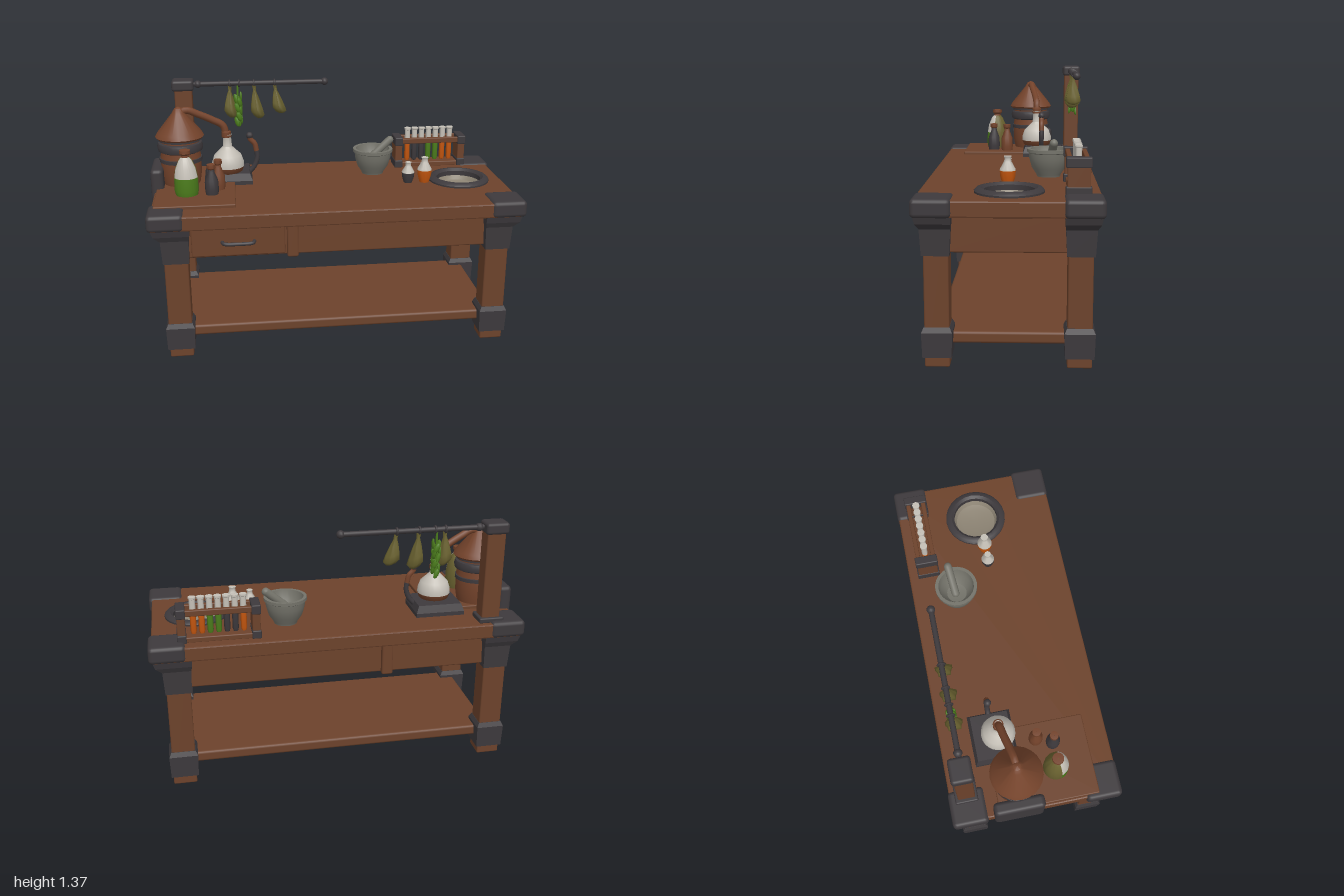
import * as THREE from 'three';
import { RoundedBoxGeometry } from 'three/addons/geometries/RoundedBoxGeometry.js';
import { toCreasedNormals } from 'three/addons/utils/BufferGeometryUtils.js';

const mat = (name, color, side = THREE.FrontSide) => {
  const m = new THREE.MeshStandardMaterial({ color, side });
  m.name = name;
  return m;
};

export function createModel() {
  const root = new THREE.Group();
  root.name = 'workbench';
  const wood = mat('wood', 0x6c422b);
  const copper = mat('copper', 0x74432b, THREE.DoubleSide);
  const iron = mat('iron', 0x3d393c, THREE.DoubleSide);
  const stone = mat('stone', 0x74736a, THREE.DoubleSide);
  const pale = mat('paleStone', 0x8c8373, THREE.DoubleSide);
  const glass = mat('glass', 0xc4bfb6, THREE.DoubleSide);
  const green = mat('green', 0x4c7d1c, THREE.DoubleSide);
  const olive = mat('olive', 0x68602f, THREE.DoubleSide);
  const orange = mat('orange', 0xc4560f, THREE.DoubleSide);

  const add = (name, geo, m, x = 0, y = 0, z = 0, parent = root) => {
    const mesh = new THREE.Mesh(geo, m);
    mesh.name = name;
    mesh.position.set(x, y, z);
    parent.add(mesh);
    return mesh;
  };
  // Softened box given by its limits on each axis
  const box = (name, m, [x0, x1], [y0, y1], [z0, z1], r = 0.008) =>
    add(name, new RoundedBoxGeometry(x1 - x0, y1 - y0, z1 - z0, 2, r), m, (x0 + x1) / 2, (y0 + y1) / 2, (z0 + z1) / 2);
  // Turned shape from [radius, height] pairs
  const turned = (name, m, x, z, profile, start = 0, sweep = Math.PI * 2) =>
    add(name, toCreasedNormals(new THREE.LatheGeometry(profile.map(p => new THREE.Vector2(...p)), 24, start, sweep), 0.7), m, x, 0, z);
  const tube = (name, m, points, r) =>
    add(name, new THREE.TubeGeometry(new THREE.CatmullRomCurve3(points.map(p => new THREE.Vector3(...p))), 24, r, 8), m);
  const span = (s, a, b) => (s > 0 ? [a, b] : [-b, -a]);

  // Rectangular sections [y, x0, x1, z0, z1] joined from bottom to top
  const loft = (name, m, sections) => {
    const rings = sections.map(([y, a, b, c, d]) => [[a, y, d], [b, y, d], [b, y, c], [a, y, c]]);
    const pos = [];
    const quad = (a, b, c, d) => pos.push(...a, ...b, ...c, ...a, ...c, ...d);
    for (let i = 0; i + 1 < rings.length; i++) {
      for (let k = 0; k < 4; k++) {
        const n = (k + 1) % 4;
        quad(rings[i][k], rings[i][n], rings[i + 1][n], rings[i + 1][k]);
      }
    }
    quad(...rings[rings.length - 1]);
    quad(...[...rings[0]].reverse());
    const geo = new THREE.BufferGeometry();
    geo.setAttribute('position', new THREE.Float32BufferAttribute(pos, 3));
    geo.computeVertexNormals();
    return add(name, geo, m);
  };

  // Table top with a round opening for the basin
  const top = new THREE.Shape([[-0.975, -0.435], [0.975, -0.435], [0.975, 0.435], [-0.975, 0.435]].map(p => new THREE.Vector2(...p)));
  const hole = new THREE.Path();
  hole.absarc(0.74, 0, 0.14, 0, Math.PI * 2, true);
  top.holes.push(hole);
  const topGeo = new THREE.ExtrudeGeometry(top, { depth: 0.064, bevelEnabled: true, bevelSize: 0.008, bevelThickness: 0.008, bevelSegments: 2, curveSegments: 32 });
  topGeo.rotateX(-Math.PI / 2);
  add('tableTop', topGeo, wood, 0, 0.751, 0);

  // Four legs with iron feet bands, flared brackets and corner caps
  for (const sx of [-1, 1]) for (const sz of [-1, 1]) {
    box('leg', wood, span(sx, 0.8, 0.925), [0, 0.76], span(sz, 0.28, 0.4));
    const section = (y, a, b, c, d) => [y, ...span(sx, a, b), ...span(sz, c, d)];
    loft('footBand', iron, [
      section(0.05, 0.79, 0.935, 0.27, 0.41), section(0.175, 0.786, 0.939, 0.266, 0.414), section(0.2, 0.798, 0.927, 0.278, 0.402)]);
    loft('legBracket', iron, [
      section(0.55, 0.795, 0.93, 0.275, 0.408), section(0.68, 0.79, 0.937, 0.268, 0.415),
      section(0.71, 0.785, 0.97, 0.265, 0.43), section(0.76, 0.785, 0.985, 0.263, 0.44)]);
    box('cornerCap', iron, span(sx, 0.81, 1), [0.742, 0.833], span(sz, 0.26, 0.45), 0.022);
  }
  box('shelf', wood, [-0.87, 0.87], [0.1, 0.16], [-0.355, 0.355], 0.014);

  // Aprons, divider and drawer
  for (const s of [-1, 1]) {
    box('longApron', wood, [-0.82, 0.82], [0.565, 0.755], span(s, 0.34, 0.372));
    box('endApron', wood, span(s, 0.865, 0.9), [0.56, 0.755], [-0.3, 0.3]);
    box('apronPost', wood, [-0.28, -0.22], [0.558, 0.755], span(s, 0.35, 0.402), 0.01);
  }
  box('divider', wood, [-0.265, -0.235], [0.575, 0.755], [-0.35, 0.35]);
  box('drawerFront', wood, [-0.78, -0.29], [0.575, 0.74], [0.36, 0.388]);
  tube('drawerHandle', iron, [[-0.62, 0.655, 0.385], [-0.61, 0.652, 0.408], [-0.535, 0.65, 0.413], [-0.46, 0.652, 0.408], [-0.45, 0.655, 0.385]], 0.01);

  // Basin sunk into the top
  turned('basinRim', iron, 0.74, 0, [[0.125, 0.79], [0.125, 0.835], [0.14, 0.848], [0.16, 0.845], [0.172, 0.832], [0.172, 0.815]]);
  turned('basinBowl', pale, 0.74, 0, [[0.001, 0.772], [0.08, 0.775], [0.112, 0.785], [0.126, 0.81]]);

  // Working board and side plate
  box('workBoard', wood, [-0.97, -0.54], [0.815, 0.842], [-0.2, 0.33], 0.006);
  box('sidePlate', iron, [-1, -0.93], [0.695, 0.95], [-0.23, 0.035], 0.022);

  // Post with hanging rail
  box('railPost', wood, [-0.865, -0.765], [0.82, 1.33], [-0.4, -0.308]);
  box('railPostCap', iron, [-0.88, -0.755], [1.31, 1.372], [-0.41, -0.3], 0.016);
  box('railPostBase', iron, [-0.885, -0.75], [0.82, 0.85], [-0.415, -0.295]);
  add('rail', new THREE.CylinderGeometry(0.014, 0.014, 0.78, 10).rotateZ(Math.PI / 2), iron, -0.38, 1.342, -0.352);
  for (const x of [-0.732, 0.003]) add('railKnob', new THREE.SphereGeometry(0.022, 12, 8), iron, x, 1.342, -0.352);
  const ringXs = [-0.55, -0.495, -0.41, -0.29];
  for (const x of ringXs) add('railRing', new THREE.TorusGeometry(0.017, 0.006, 6, 14).rotateY(Math.PI / 2), iron, x, 1.342, -0.352);

  // Dried herb bundles: fluted cones with ragged ends, leaning slightly
  for (const [x, length, lean] of [[-0.55, 0.185, 0.0], [-0.41, 0.195, 0.1], [-0.29, 0.17, 0.17]]) {
    const geo = new THREE.LatheGeometry([[0.003, -1], [0.022, -0.94], [0.038, -0.82], [0.033, -0.65], [0.02, -0.35], [0.008, -0.15], [0.011, 0]]
      .map(p => new THREE.Vector2(p[0], p[1] * length)), 14);
    const p = geo.attributes.position;
    for (let i = 0; i < p.count; i++) {
      const a = Math.atan2(p.getZ(i), p.getX(i)), k = 1 + 0.16 * Math.cos(5 * a);
      p.setXYZ(i, p.getX(i) * k, p.getY(i) - p.getX(i) * 0.5, p.getZ(i) * k * 1.15);
    }
    geo.computeVertexNormals();
    add('driedHerb', geo, olive, x, 1.328, -0.345).rotation.z = lean;
  }
  // Fresh herb: pointed leaves spiralling down a stem
  const sprig = new THREE.Group();
  sprig.name = 'freshHerb';
  sprig.position.set(-0.505, 1.33, -0.35);
  root.add(sprig);
  add('stem', new THREE.CylinderGeometry(0.006, 0.006, 0.2, 6), green, 0, -0.1, 0, sprig);
  for (let i = 0; i < 16; i++) {
    const a = i * 2.4, y = -0.065 - i * 0.0105, r = 0.018;
    const leaf = add('leaf', new THREE.SphereGeometry(0.02, 7, 5), green, Math.cos(a) * r, y, Math.sin(a) * r, sprig);
    leaf.scale.set(0.75, 1.5, 0.4);
    leaf.rotation.set(0, -a + Math.PI / 2, Math.sin(a) * 0.4);
  }

  // Still: copper pot with iron bands, conical hood and spout
  const sx = -0.835, sz = -0.09;
  turned('stillPot', copper, sx, sz, [[0.001, 0.835], [0.1, 0.835], [0.112, 0.9], [0.112, 1.0], [0.105, 1.03], [0.108, 1.11]]);
  turned('stillBand', iron, sx, sz, [[0.108, 1.025], [0.122, 1.032], [0.127, 1.055], [0.12, 1.075], [0.105, 1.08]]);
  turned('stillCollar', iron, sx, sz, [[0.1, 1.085], [0.116, 1.088], [0.116, 1.104], [0.1, 1.107]]);
  turned('stillLowerBand', iron, sx, sz, [[0.1, 0.965], [0.118, 0.97], [0.118, 0.99], [0.1, 0.995]]);
  turned('stillHood', copper, sx, sz, [[0.001, 1.098], [0.125, 1.1], [0.134, 1.11], [0.122, 1.132], [0.035, 1.24], [0.02, 1.265], [0.001, 1.273]]);
  tube('stillSpout', copper, [[-0.84, 1.235, -0.09], [-0.79, 1.25, -0.095], [-0.73, 1.225, -0.105], [-0.65, 1.185, -0.12], [-0.595, 1.15, -0.128], [-0.578, 1.085, -0.13]], 0.02);
  turned('spoutCollar', copper, -0.578, -0.13, [[0.02, 1.08], [0.027, 1.085], [0.027, 1.115], [0.02, 1.12]]);

  // Flask on an iron burner stand
  const fx = -0.575, fz = -0.13;
  loft('burnerStand', iron, [[0.82, -0.71, -0.44, -0.275, -0.045], [0.845, -0.71, -0.44, -0.275, -0.045], [0.885, -0.695, -0.455, -0.26, -0.06]]);
  turned('flaskLiquid', copper, fx, fz, [[0.001, 0.866], [0.055, 0.867], [0.082, 0.89], [0.09, 0.915]]);
  turned('flaskGlass', glass, fx, fz, [[0.09, 0.915], [0.09, 0.94], [0.076, 0.98], [0.045, 1.01], [0.026, 1.03], [0.022, 1.09], [0.027, 1.1], [0.02, 1.1]]);
  tube('standHook', iron, [[-0.46, 0.86, -0.16], [-0.425, 0.9, -0.16], [-0.408, 0.95, -0.16], [-0.412, 1.0, -0.16]], 0.014);
  tube('hookHandle', copper, [[-0.411, 0.99, -0.16], [-0.42, 1.03, -0.16], [-0.445, 1.06, -0.16], [-0.448, 1.08, -0.16]], 0.015);
  add('hookTip', new THREE.SphereGeometry(0.02, 10, 8), iron, -0.448, 1.08, -0.16);

  // Large bottle with a label-like clear front
  const bx = -0.8, bz = 0.13;
  turned('bottleFront', green, bx, bz, [[0.001, 0.842], [0.06, 0.842], [0.066, 0.87], [0.064, 0.94]], -1.3, 2.6);
  turned('bottleFrontGlass', glass, bx, bz, [[0.064, 0.94], [0.055, 0.99], [0.035, 1.035], [0.022, 1.05]], -1.3, 2.6);
  turned('bottleBack', olive, bx, bz, [[0.001, 0.842], [0.06, 0.842], [0.066, 0.87], [0.064, 0.94], [0.055, 0.99], [0.035, 1.035], [0.022, 1.05]], 1.3, Math.PI * 2 - 2.6);
  turned('bottleCork', copper, bx, bz, [[0.022, 1.04], [0.02, 1.06], [0.03, 1.07], [0.029, 1.087], [0.001, 1.089]]);

  // Two small corked bottles
  for (const [x, z, m] of [[-0.665, 0.145, iron], [-0.63, 0.06, copper]]) {
    turned('smallBottle', m, x, z, [[0.001, 0.842], [0.034, 0.842], [0.037, 0.87], [0.035, 0.92], [0.018, 0.965], [0.016, 0.985]]);
    turned('smallCork', copper, x, z, [[0.017, 0.98], [0.023, 0.988], [0.022, 1.008], [0.001, 1.01]]);
  }

  // Mortar and pestle
  turned('mortar', stone, 0.27, -0.195, [[0.001, 0.822], [0.062, 0.822], [0.066, 0.835], [0.09, 0.87], [0.104, 0.92], [0.107, 0.95], [0.116, 0.955], [0.116, 0.972], [0.098, 0.972], [0.088, 0.92], [0.055, 0.875], [0.001, 0.865]]);
  const pestle = add('pestle', new THREE.CapsuleGeometry(0.022, 0.16, 4, 12), stone, 0.315, 0.96, -0.212);
  pestle.rotation.set(-0.15, 0, -0.85);

  // Two potion vials
  for (const [x, h, r, m] of [[0.44, 0.12, 0.036, iron], [0.535, 0.145, 0.041, orange]]) {
    const at = (k, f) => [r * k, 0.822 + h * f];
    turned('vialLiquid', m, x, 0.015, [at(0.01, 0), at(0.65, 0), at(0.95, 0.3), at(1, 0.5)]);
    turned('vialGlass', glass, x, 0.015, [at(1, 0.5), at(0.95, 0.56), at(0.45, 0.82), at(0.4, 0.93), at(0.5, 1), at(0.01, 1)]);
  }

  // Rack with seven test tubes
  for (const [a, b] of [[0.42, 0.468], [0.802, 0.85]]) {
    box('rackEnd', wood, [a + 0.003, b - 0.003], [0.82, 1.0], [-0.385, -0.275], 0.005);
    box('rackEndCap', iron, [a, b], [0.955, 1.006], [-0.392, -0.268], 0.006);
    box('rackEndBase', iron, [a, b], [0.82, 0.866], [-0.392, -0.268], 0.006);
  }
  box('rackBase', wood, [0.46, 0.81], [0.82, 0.85], [-0.38, -0.28], 0.006);
  for (const z of [-0.372, -0.288]) box('rackRail', wood, [0.46, 0.81], [0.965, 0.998], [z - 0.012, z + 0.012], 0.005);
  [orange, iron, iron, green, green, orange, orange].forEach((m, i) => {
    const x = 0.505 + i * 0.043;
    turned('tubeLiquid', m, x, -0.33, [[0.001, 0.848], [0.012, 0.853], [0.016, 0.868], [0.016, 0.965]]);
    turned('tubeGlass', glass, x, -0.33, [[0.016, 0.965], [0.016, 1.04], [0.02, 1.043], [0.02, 1.053], [0.001, 1.054]]);
  });

  return root;
}
